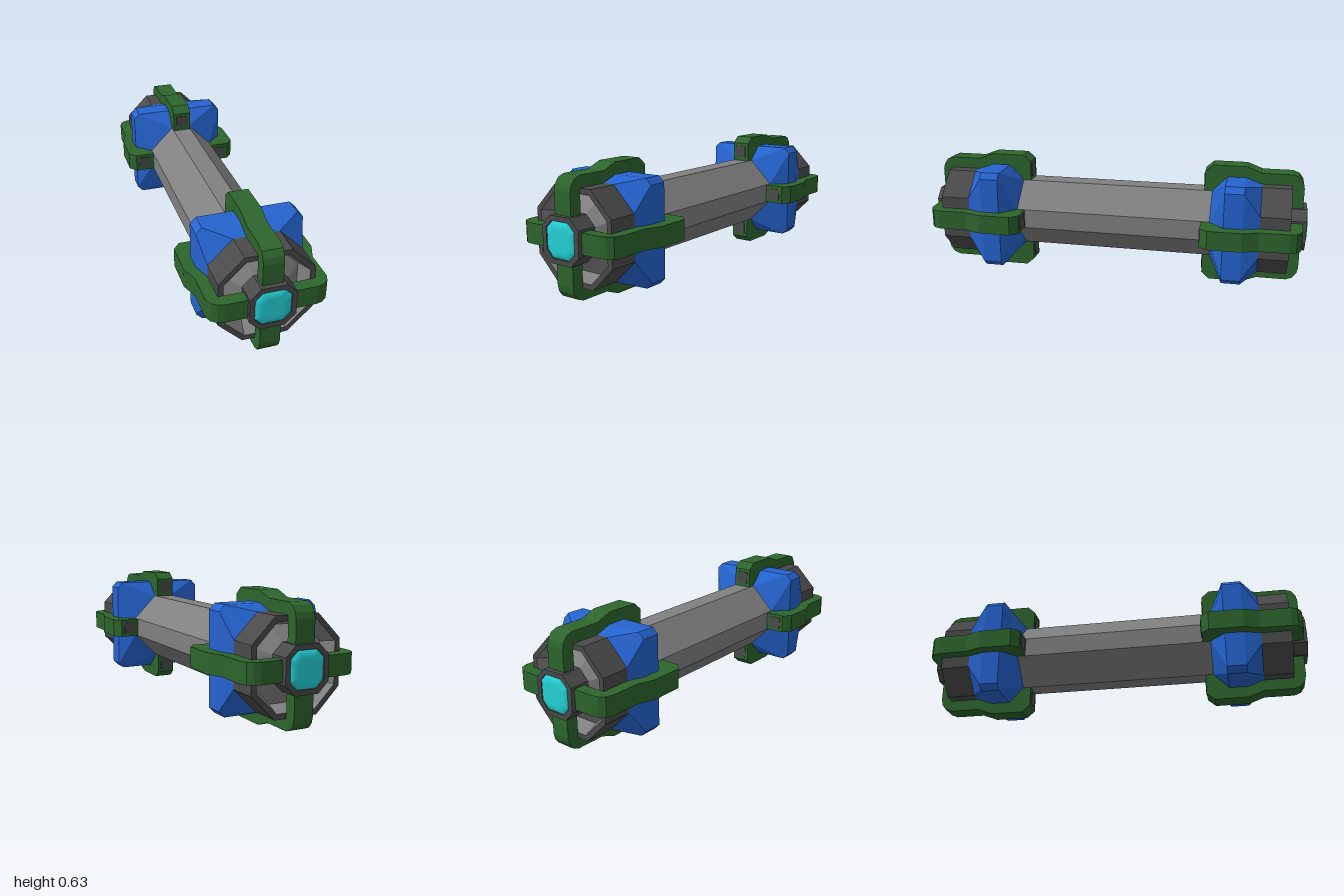
import * as THREE from 'three';

const material = (name, color) => {
  const m = new THREE.MeshStandardMaterial({ color, flatShading: true });
  m.name = name;
  return m;
};

// Chamfered square: h = half width, c = half length of each straight side
const octagon = (h, c, z) => [
  [h, -c, z], [h, c, z], [c, h, z], [-c, h, z],
  [-h, c, z], [-h, -c, z], [-c, -h, z], [c, -h, z],
];

// Flat-sided skin through octagon sections [h, c, z], optionally closed at the ends
function loft(sections, capStart = false, capEnd = false) {
  const rings = sections.map((s) => octagon(...s));
  const pos = [];
  const tri = (a, b, c) => pos.push(...a, ...b, ...c);
  for (let k = 0; k < rings.length - 1; k++) {
    const a = rings[k], b = rings[k + 1];
    for (let i = 0; i < 8; i++) {
      const j = (i + 1) % 8;
      tri(a[i], a[j], b[j]);
      tri(a[i], b[j], b[i]);
    }
  }
  const first = rings[0], last = rings[rings.length - 1];
  for (let i = 1; i < 7; i++) {
    if (capStart) tri(first[0], first[i + 1], first[i]);
    if (capEnd) tri(last[0], last[i], last[i + 1]);
  }
  const g = new THREE.BufferGeometry();
  g.setAttribute('position', new THREE.Float32BufferAttribute(pos, 3));
  g.computeVertexNormals();
  return g;
}

export function createModel() {
  const grey = material('grey metal', 0x808080);
  const dark = material('dark metal', 0x4a4a4a);
  const blue = material('blue casing', 0x2563cf);
  const green = material('green strap', 0x2d652d);
  const cyan = material('cyan gem', 0x24d3d8);

  const model = new THREE.Group();
  model.name = 'doubleEndedRod';
  const add = (parent, name, geometry, mat) => {
    const mesh = new THREE.Mesh(geometry, mat);
    mesh.name = name;
    parent.add(mesh);
    return mesh;
  };

  const body = new THREE.Group();
  body.name = 'body';
  body.position.y = 0.315;
  model.add(body);
  add(body, 'shaft', loft([[0.178, 0.05, -0.53], [0.178, 0.05, 0.53]]), grey);

  // Head parts, all along +z
  const casingGeo = loft([[0.178, 0.05, 0.51], [0.257, 0.228, 0.585],
    [0.257, 0.228, 0.68], [0.228, 0.11, 0.762]], true, true);
  const collarGeo = loft([[0.228, 0.11, 0.76], [0.228, 0.11, 0.912], [0.202, 0.1, 0.912]]);
  const dishGeo = loft([[0.202, 0.1, 0.912], [0.178, 0.086, 0.83], [0.09, 0.05, 0.9]]);
  const bezelGeo = loft([[0.11, 0.06, 0.89], [0.11, 0.06, 0.993], [0.086, 0.05, 0.993],
    [0.086, 0.05, 0.98]], true, true);

  // Domed gem with a rounded rim
  const gemSections = [];
  for (let i = 0; i <= 6; i++) {
    const a = (i / 6) * Math.PI / 2;
    gemSections.push([0.05 + 0.036 * Math.cos(a), 0.03 + 0.02 * Math.cos(a), 0.984 + 0.016 * Math.sin(a)]);
  }
  const gemGeo = loft(gemSections, false, true);

  // Strap side profile: x runs along the rod, y is the distance from its axis
  const strapShape = new THREE.Shape([
    [0.47, 0.178], [0.51, 0.178], [0.585, 0.256], [0.68, 0.256], [0.76, 0.227],
    [0.912, 0.227], [0.912, 0.1], [0.972, 0.1], [0.972, 0.215], [0.965, 0.245],
    [0.945, 0.272], [0.912, 0.285], [0.76, 0.285], [0.68, 0.315], [0.51, 0.315], [0.47, 0.28],
  ].map(([x, y]) => new THREE.Vector2(x, y)));
  const strapGeo = new THREE.ExtrudeGeometry(strapShape, { depth: 0.098, bevelEnabled: false });
  strapGeo.translate(0, 0, -0.049).rotateY(-Math.PI / 2);
  const socketGeo = new THREE.BoxGeometry(0.064, 0.066, 0.006).translate(0, 0.23, 0.469);

  for (const [name, turn] of [['frontHead', 0], ['backHead', Math.PI]]) {
    const head = new THREE.Group();
    head.name = name;
    head.rotation.y = turn;
    body.add(head);
    add(head, 'casing', casingGeo, blue);
    add(head, 'collar', collarGeo, dark);
    add(head, 'dish', dishGeo, grey);
    add(head, 'bezel', bezelGeo, dark);
    add(head, 'gem', gemGeo, cyan);
    for (let i = 0; i < 4; i++) {
      const angle = i * Math.PI / 2;
      add(head, 'strap', strapGeo, green).rotation.z = angle;
      add(head, 'strapSocket', socketGeo, dark).rotation.z = angle;
    }
  }
  return model;
}
